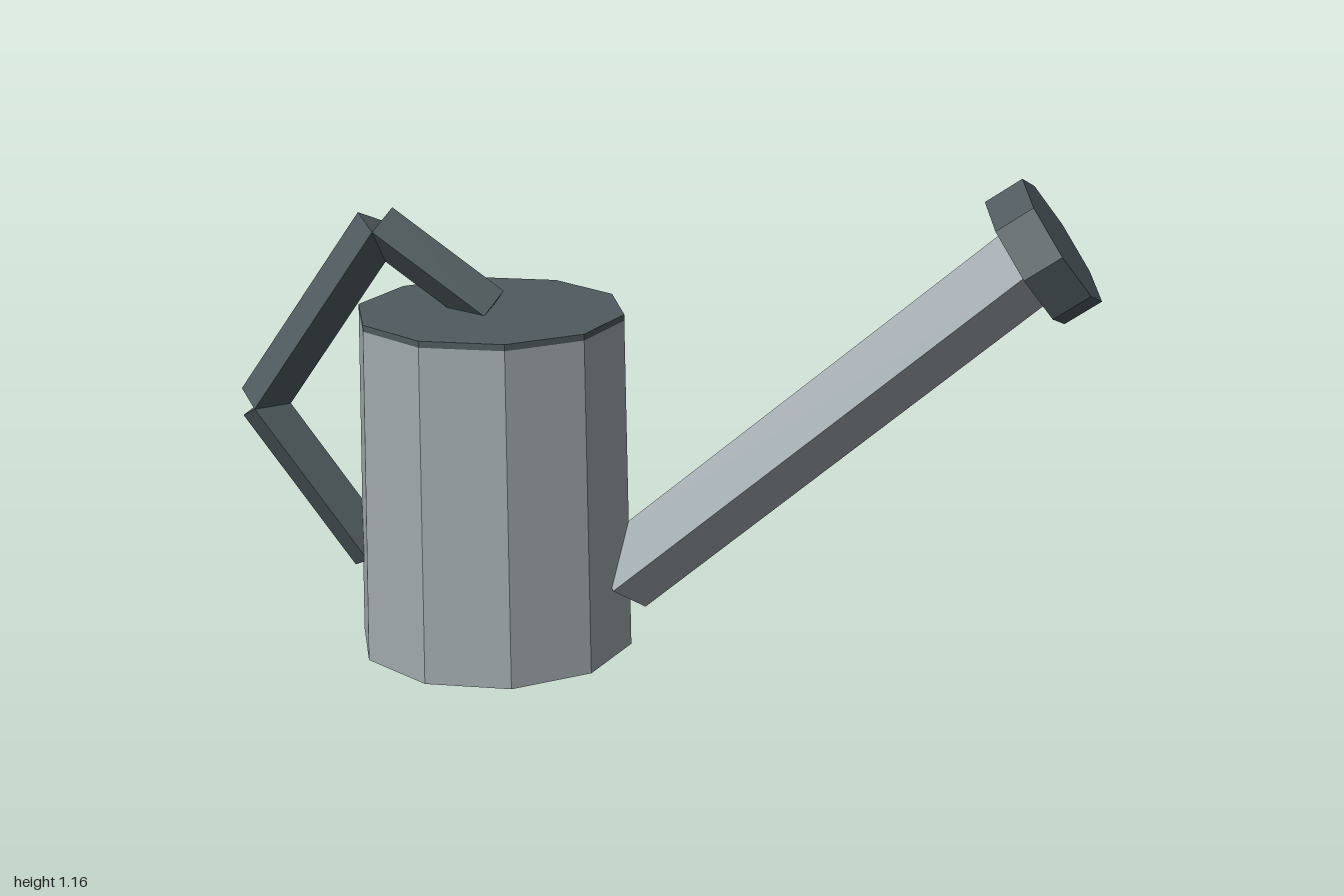
import * as THREE from 'three';

const lightMetal = new THREE.MeshStandardMaterial({ color: 0x9fa8ad, flatShading: true });
lightMetal.name = 'light metal';
const darkMetal = new THREE.MeshStandardMaterial({ color: 0x505b5f, flatShading: true });
darkMetal.name = 'dark metal';

// Faceted rod between two points in the z = 0 plane, with a corner edge on top
function rod(name, from, to, radius, sides, material) {
  const a = new THREE.Vector3(from[0], from[1], 0);
  const b = new THREE.Vector3(to[0], to[1], 0);
  const dir = b.clone().sub(a);
  const geometry = new THREE.CylinderGeometry(radius, radius, dir.length(), sides);
  const mesh = new THREE.Mesh(geometry, material);
  mesh.name = name;
  mesh.position.copy(a).add(b).multiplyScalar(0.5);
  mesh.rotation.z = Math.atan2(dir.y, dir.x) - Math.PI / 2;
  return mesh;
}

export function createModel() {
  const model = new THREE.Group();
  model.name = 'wateringCan';

  // Ten-sided tapered tank with a thin dark lid
  const tank = (name, rTop, rBottom, y0, y1, material) => {
    const geometry = new THREE.CylinderGeometry(rTop, rBottom, y1 - y0, 10, 1, false, Math.PI / 10);
    const mesh = new THREE.Mesh(geometry, material);
    mesh.name = name;
    mesh.position.set(-0.393, (y0 + y1) / 2, 0);
    model.add(mesh);
  };
  tank('body', 0.314, 0.328, 0, 0.797, lightMetal);
  tank('lid', 0.314, 0.314, 0.797, 0.812, darkMetal);

  // Square spout set on edge, and the octagonal sprinkler head
  model.add(rod('spout', [-0.092, 0.168], [0.84, 0.967], 0.094, 4, lightMetal));
  model.add(rod('sprinklerHead', [0.825, 0.965], [0.905, 1.02], 0.165, 8, darkMetal));

  // Three-part handle from the lid round to the back of the tank
  const handle = new THREE.Group();
  handle.name = 'handle';
  const path = [[-0.395, 0.81], [-0.653, 0.998], [-0.952, 0.562], [-0.69, 0.198]];
  ['handleTop', 'handleMiddle', 'handleBottom'].forEach((name, i) => {
    handle.add(rod(name, path[i], path[i + 1], 0.058, 4, darkMetal));
  });
  model.add(handle);

  return model;
}
